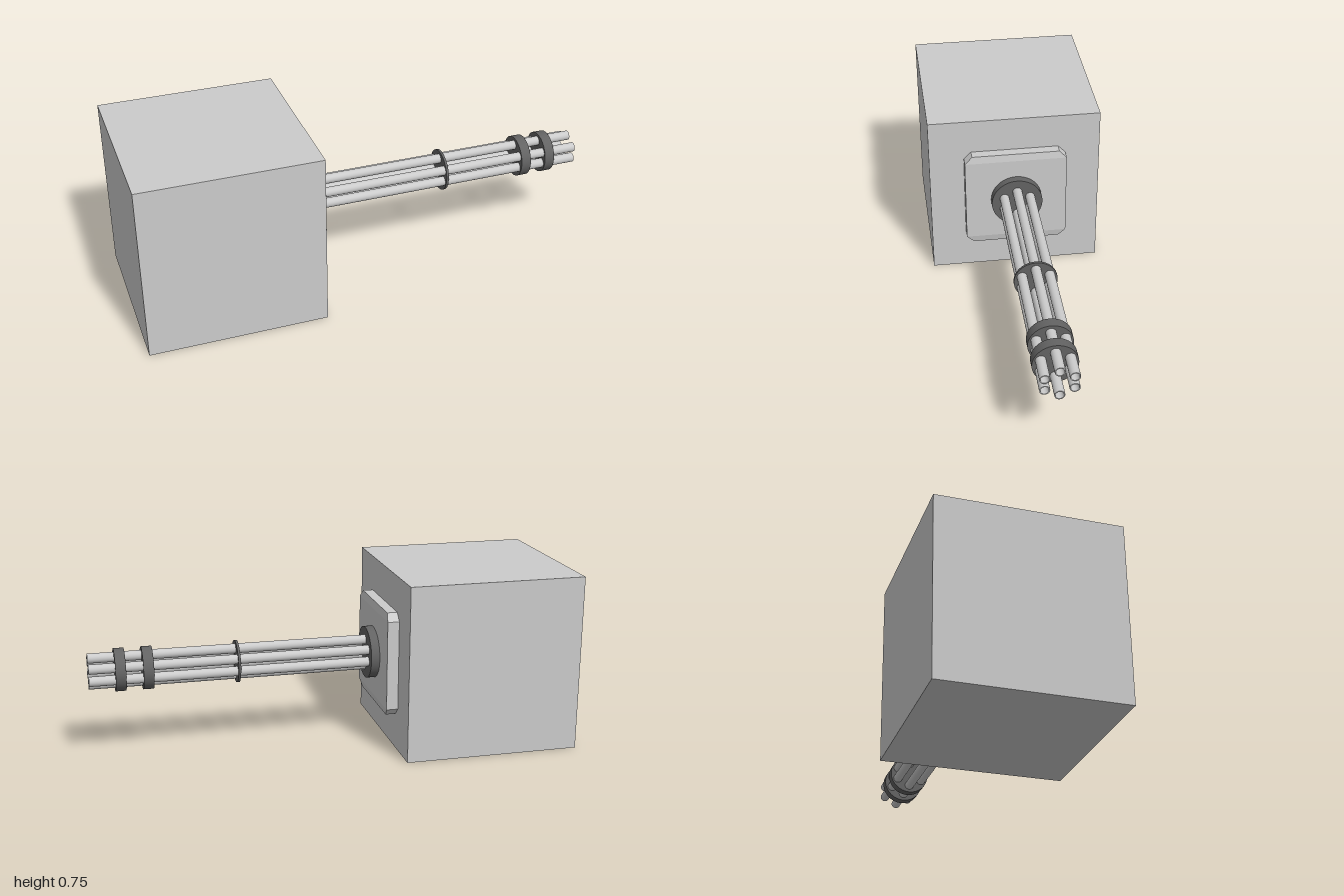
import * as THREE from 'three';

const CY = 0.373; // height of the barrel axis

export function createModel() {
  const model = new THREE.Group();
  const grey = new THREE.MeshStandardMaterial({ color: 0xcccccc });
  const dark = new THREE.MeshStandardMaterial({ color: 0x636363 });

  const add = (name, geometry, material, x, y = CY, z = 0) => {
    const mesh = new THREE.Mesh(geometry, material);
    mesh.name = name;
    mesh.position.set(x, y, z);
    model.add(mesh);
    return mesh;
  };

  // Solid disc on the barrel axis between two x positions
  const disc = (name, x0, x1, r) =>
    add(name, new THREE.CylinderGeometry(r, r, x1 - x0, 48).rotateZ(-Math.PI / 2), dark, (x0 + x1) / 2);

  // Cube housing
  add('housing', new THREE.BoxGeometry(0.743, 0.746, 0.745), grey, -0.6285);

  // Mounting plate: clipped corners, upper and lower bands sloping slightly back
  const h = 0.222, c = 0.19;
  const shapes = [
    [[-h, -c], [h, -c], [h, c], [-h, c]],
    [[-h, c], [h, c], [c, h], [-c, h]],
    [[-c, -h], [c, -h], [h, -c], [-h, -c]],
  ].map(pts => new THREE.Shape(pts.map(p => new THREE.Vector2(...p))));
  const plate = new THREE.ExtrudeGeometry(shapes, { depth: 0.049, bevelEnabled: false });
  const pos = plate.attributes.position;
  for (let i = 0; i < pos.count; i++) {
    if (Math.abs(pos.getY(i)) > 0.2 && pos.getZ(i) > 0.02) pos.setZ(i, 0.043);
  }
  plate.computeVertexNormals();
  add('mountingPlate', plate.rotateY(Math.PI / 2), grey, -0.257);

  // Flange, spacer ring and muzzle collars
  disc('flange', -0.21, -0.172, 0.111);
  disc('spacerRing', 0.38, 0.39, 0.089);
  disc('innerCollar', 0.737, 0.78, 0.089);
  disc('outerCollar', 0.85, 0.893, 0.089);

  // Six hollow barrels around the axis
  const profile = [[0.0205, 0], [0.0205, 1.18], [0.0165, 1.18], [0.0165, 0]];
  const parts = profile.slice(1).map((p, i) =>
    new THREE.LatheGeometry([profile[i], p].map(q => new THREE.Vector2(...q)), 24).rotateZ(-Math.PI / 2));
  for (const [z, y] of [[0, 0.056], [0.056, 0.026], [0.056, -0.026], [0, -0.056], [-0.056, -0.026], [-0.056, 0.026]]) {
    const barrel = new THREE.Group();
    barrel.name = 'barrel';
    barrel.position.set(-0.18, CY + y, z);
    ['barrelWall', 'barrelMuzzle', 'barrelBore'].forEach((name, i) => {
      const mesh = new THREE.Mesh(parts[i], grey);
      mesh.name = name;
      barrel.add(mesh);
    });
    model.add(barrel);
  }

  return model;
}
